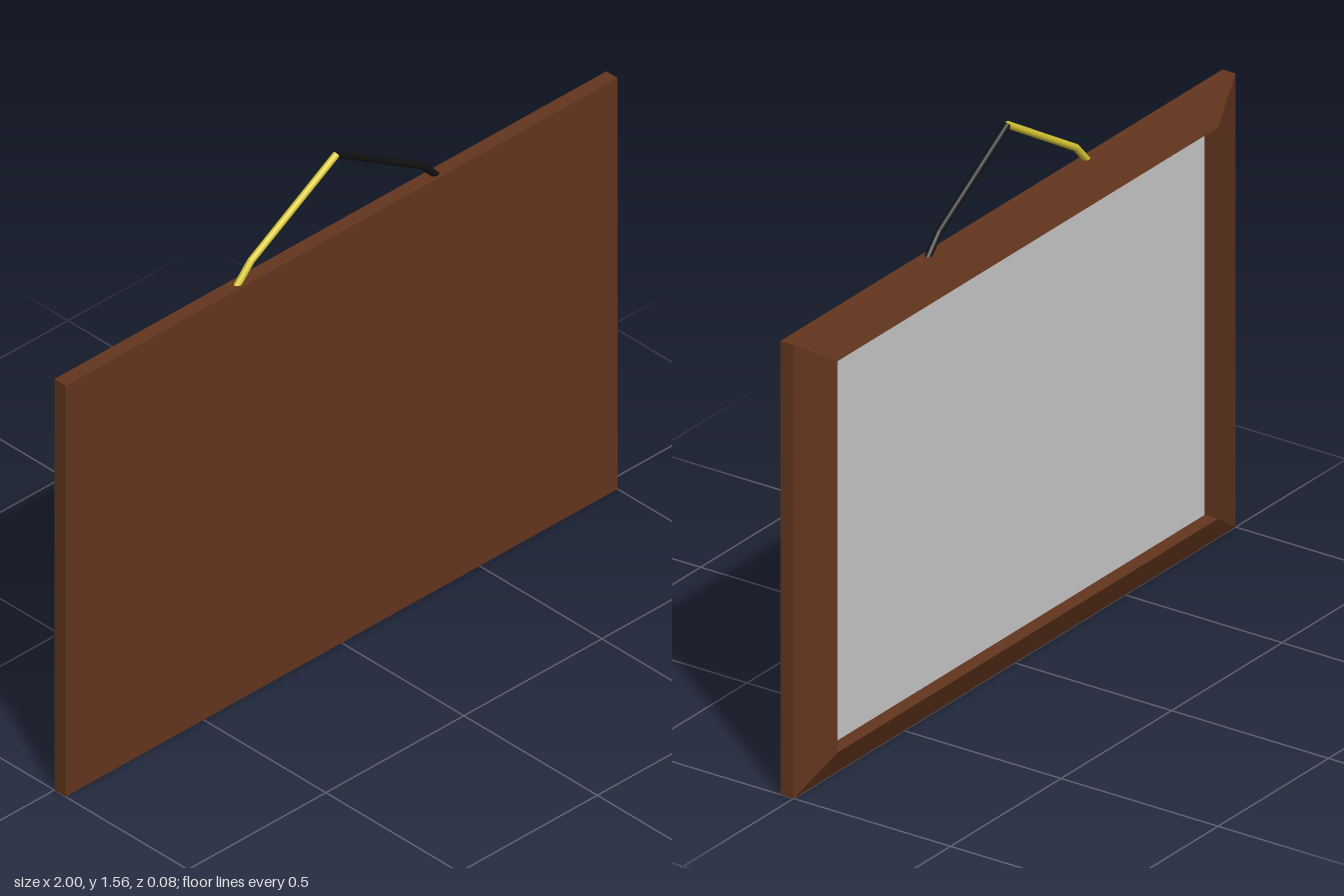
import * as THREE from 'three';

const H = 1.31, BACK = 0.042;
const wood = new THREE.MeshStandardMaterial({ color: 0x64361e, flatShading: true });
const grey = new THREE.MeshStandardMaterial({ color: 0xcccccc });
const yellow = new THREE.MeshStandardMaterial({ color: 0xd8c832 });
const black = new THREE.MeshStandardMaterial({ color: 0x111111 });

function add(parent, name, geometry, material) {
  const mesh = new THREE.Mesh(geometry, material);
  mesh.name = name;
  parent.add(mesh);
  return mesh;
}

// Rectangular ring: inset from the outer outline in x and y, at depth z
function ring(dx, dy, z) {
  const x = 1 - dx, lo = dy, hi = H - dy;
  return [[-x, lo, z], [x, lo, z], [x, hi, z], [-x, hi, z]];
}

// Joins successive rectangles with flat sides
function frameGeometry(rings) {
  const pos = [];
  const quad = (a, b, c, d) => pos.push(...a, ...b, ...c, ...a, ...c, ...d);
  quad(...rings[0]);
  for (let r = 0; r < rings.length - 1; r++) {
    const p = rings[r], q = rings[r + 1];
    for (let i = 0; i < 4; i++) {
      const j = (i + 1) % 4;
      quad(p[j], p[i], q[i], q[j]);
    }
  }
  const g = new THREE.BufferGeometry();
  g.setAttribute('position', new THREE.Float32BufferAttribute(pos, 3));
  g.computeVertexNormals();
  return g;
}

// Straight round segments with a ball at each bend
function cord(name, side, material) {
  const group = new THREE.Group();
  group.name = name;
  const radius = 0.01;
  const pts = [[0.37, 1.295], [0.31, 1.36], [0, 1.548]]
    .map(([x, y]) => new THREE.Vector3(side * x, y, 0.023));
  for (let i = 0; i < pts.length - 1; i++) {
    const dir = pts[i + 1].clone().sub(pts[i]);
    const seg = add(group, 'cordSegment', new THREE.CylinderGeometry(radius, radius, dir.length(), 12), material);
    seg.position.copy(pts[i]).addScaledVector(dir, 0.5);
    seg.quaternion.setFromUnitVectors(new THREE.Vector3(0, 1, 0), dir.normalize());
  }
  add(group, 'cordBend', new THREE.SphereGeometry(radius, 12, 8), material).position.copy(pts[1]);
  return group;
}

export function createModel() {
  const model = new THREE.Group();
  model.name = 'hangingFrame';

  // Flat board, bevelled rim and inner wall
  add(model, 'frame', frameGeometry([
    ring(0, 0, BACK),
    ring(0, 0, 0),
    ring(0.14, 0.09, -BACK),
    ring(0.14, 0.09, 0),
  ]), wood);

  // Recessed panel facing away from the flat board
  const panel = add(model, 'panel', new THREE.PlaneGeometry(1.72, H - 0.18), grey);
  panel.rotation.y = Math.PI;
  panel.position.set(0, H / 2, 0);

  // Two-tone hanging cord
  model.add(cord('rightCord', -1, yellow), cord('leftCord', 1, black));
  return model;
}
